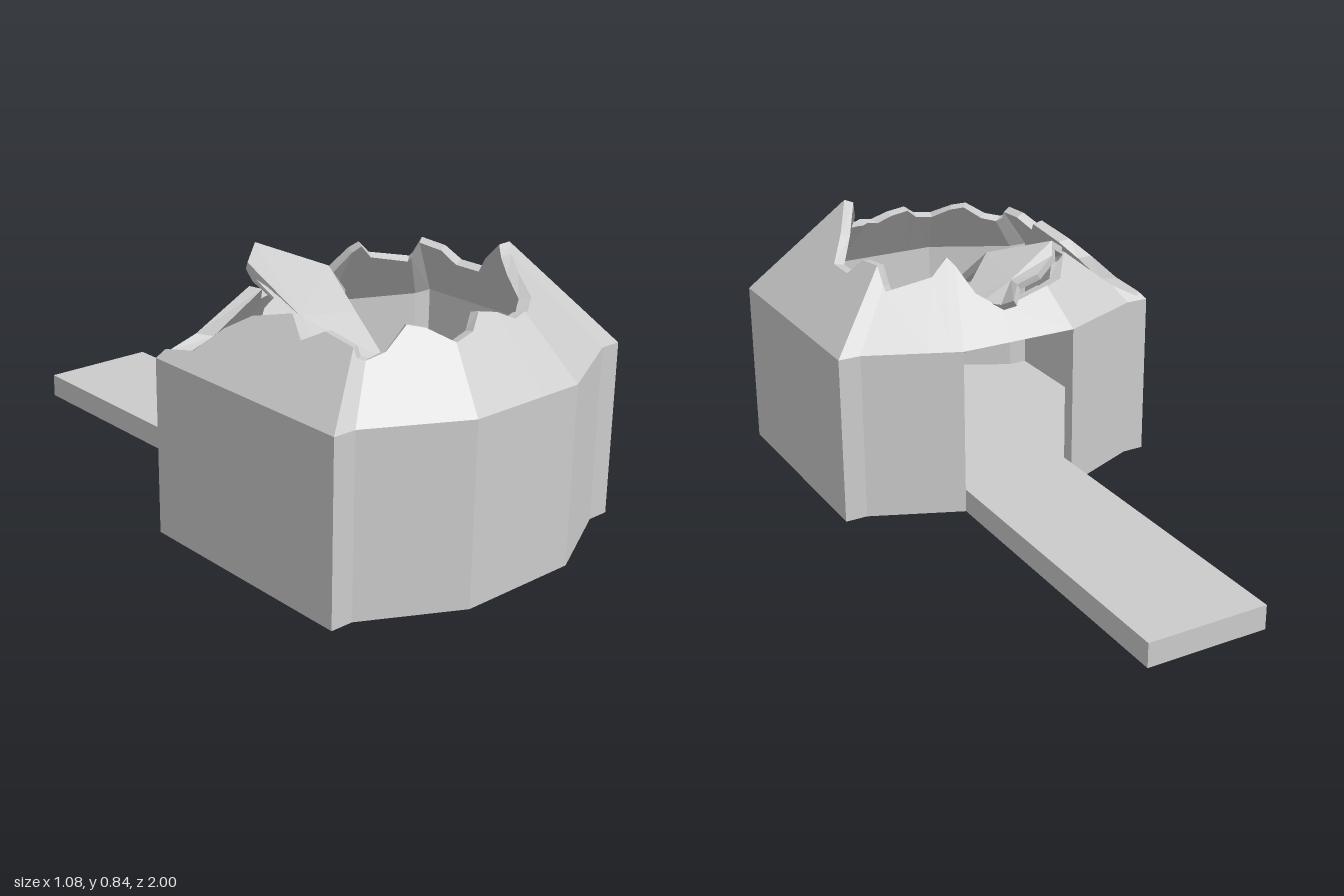
import * as THREE from 'three';

const material = new THREE.MeshStandardMaterial({ color: 0xcccccc, flatShading: true, side: THREE.DoubleSide });
const CZ = 0.5, EAVE = 0.53, RISE = 0.6, INNER = 0.91;

// Footprint [x, z], from one door jamb round to the other
const half = [[0.19, 0], [0.47, 0.12], [0.54, 0.12], [0.54, 0.855], [0.47, 0.855], [0.19, 1]];
const plan = [...half, ...half.map(([x, z]) => [-x, z]).reverse()];

// Jagged edge of the hole in the roof, [x, z]
const rim = [
  [-0.52, 0.12], [-0.28, 0.21], [-0.22, 0.13], [-0.16, 0.1], [0.02, 0.07], [0.09, 0.11], [0.14, 0.2],
  [0.2, 0.18], [0.34, 0.21], [0.35, 0.35], [0.39, 0.38], [0.39, 0.48], [0.33, 0.56], [0.26, 0.68],
  [0.23, 0.74], [0.22, 0.8], [0.19, 0.82], [0.15, 0.85], [0.09, 0.86], [0.04, 0.84], [-0.02, 0.83],
  [-0.07, 0.86], [-0.14, 0.87], [-0.19, 0.81], [-0.23, 0.78], [-0.31, 0.79], [-0.39, 0.77], [-0.38, 0.64],
  [-0.41, 0.58], [-0.37, 0.5], [-0.4, 0.37], [-0.44, 0.3], [-0.5, 0.24],
];

function mesh(name, geometry) {
  const m = new THREE.Mesh(geometry, material);
  m.name = name;
  return m;
}

function fromTriangles(coords) {
  const g = new THREE.BufferGeometry();
  g.setAttribute('position', new THREE.Float32BufferAttribute(coords, 3));
  g.computeVertexNormals();
  return g;
}

// Prism standing on the ground over an [x, z] outline
function prism(outline, height) {
  const shape = new THREE.Shape(outline.map(([x, z]) => new THREE.Vector2(x, -z)));
  return new THREE.ExtrudeGeometry(shape, { depth: height, bevelEnabled: false }).rotateX(-Math.PI / 2);
}

// Distance from the roof centre to a closed outline in direction a
function reach(outline, a) {
  const dx = Math.cos(a), dz = Math.sin(a);
  let best = 0;
  outline.forEach(([x1, z1], i) => {
    const [x2, z2] = outline[(i + 1) % outline.length];
    const ex = x2 - x1, ez = z2 - z1, det = dx * ez - dz * ex;
    if (Math.abs(det) < 1e-9) return;
    const r = (x1 * ez - (z1 - CZ) * ex) / det;
    const s = (x1 * dz - (z1 - CZ) * dx) / det;
    if (r > 0 && s > -1e-6 && s < 1 + 1e-6) best = Math.max(best, r);
  });
  return best;
}

// Thick pyramid roof cut off along the jagged rim
function brokenRoof() {
  const angles = [...plan, ...rim].map(([x, z]) => Math.atan2(z - CZ, x)).sort((a, b) => a - b)
    .filter((a, i, all) => i === 0 || a - all[i - 1] > 1e-4);
  const sections = angles.map((a) => {
    const eave = reach(plan, a), edge = Math.min(reach(rim, a), eave * 0.98);
    const top = EAVE + RISE * (1 - edge / eave);
    const at = (r, y) => [r * Math.cos(a), y, CZ + r * Math.sin(a)];
    return [at(eave, EAVE), at(edge, top), at(edge * INNER, top - 0.008), at(eave * INNER, EAVE)];
  });
  const out = [];
  sections.forEach((p, i) => {
    const q = sections[(i + 1) % sections.length];
    for (let j = 0; j < 4; j++) {
      const k = (j + 1) % 4;
      out.push(...p[j], ...p[k], ...q[k], ...p[j], ...q[k], ...q[j]);
    }
  });
  return fromTriangles(out);
}

// Thick broken panel from an outline of 3D points
function slab(points, thickness) {
  const pts = points.map((p) => new THREE.Vector3(...p));
  const n = pts.length, mid = new THREE.Vector3(), normal = new THREE.Vector3();
  pts.forEach((p) => mid.addScaledVector(p, 1 / n));
  pts.forEach((p, i) => normal.add(p.clone().sub(mid).cross(pts[(i + 1) % n].clone().sub(mid))));
  normal.normalize();
  if (normal.y < 0) { pts.reverse(); normal.negate(); }
  const drop = normal.multiplyScalar(-thickness);
  const low = pts.map((p) => p.clone().add(drop)), lowMid = mid.clone().add(drop);
  const out = [];
  const tri = (...v) => v.forEach((p) => out.push(p.x, p.y, p.z));
  for (let i = 0; i < n; i++) {
    const k = (i + 1) % n;
    tri(mid, pts[i], pts[k]);
    tri(lowMid, low[k], low[i]);
    tri(pts[i], low[i], low[k]);
    tri(pts[i], low[k], pts[k]);
  }
  return fromTriangles(out);
}

export function createModel() {
  const group = new THREE.Group();
  group.name = 'ruinedHut';

  // Floor and the long walkway leading out of the doorway
  group.add(mesh('floorAndWalkway', prism([[0.19, -1], ...plan, [-0.19, -1]], 0.075)));

  // Walls, open at the back for the door
  const inside = plan.map(([x, z]) => [x * INNER, CZ + (z - CZ) * INNER]);
  inside[0][0] = 0.19;
  inside[inside.length - 1][0] = -0.19;
  group.add(mesh('walls', prism([...plan, ...inside.reverse()], EAVE)));

  group.add(mesh('brokenRoof', brokenRoof()));

  // Torn roof panels, bent up at the back and fallen inside
  const panels = {
    cavedPanel: [[-0.17, 0.79, 0.1], [-0.03, 0.73, 0.26], [-0.07, 0.64, 0.42], [-0.1, 0.55, 0.57],
      [-0.34, 0.52, 0.63], [-0.3, 0.55, 0.57], [-0.34, 0.57, 0.52], [-0.29, 0.61, 0.45],
      [-0.37, 0.64, 0.36], [-0.3, 0.67, 0.3], [-0.21, 0.69, 0.26], [-0.23, 0.72, 0.17], [-0.23, 0.75, 0.14]],
    raisedPanel: [[-0.17, 0.79, 0.1], [-0.16, 0.75, 0.08], [-0.09, 0.71, 0.05], [-0.02, 0.69, 0.05],
      [0.02, 0.66, 0], [0.03, 0.63, 0.06], [0.07, 0.63, 0.11], [0.11, 0.61, 0.18], [-0.03, 0.73, 0.26]],
    fallenPanelBack: [[-0.04, 0.48, 0.3], [0.04, 0.42, 0.29], [0.14, 0.31, 0.37], [0.19, 0.24, 0.44],
      [0.28, 0.12, 0.54], [0.27, 0.14, 0.66], [0.14, 0.3, 0.54]],
    fallenPanelFront: [[0.14, 0.3, 0.54], [-0.06, 0.26, 0.63], [-0.03, 0.12, 0.81], [0.2, 0.1, 0.83],
      [0.27, 0.14, 0.66]],
  };
  for (const [name, points] of Object.entries(panels)) group.add(mesh(name, slab(points, 0.025)));

  return group;
}
